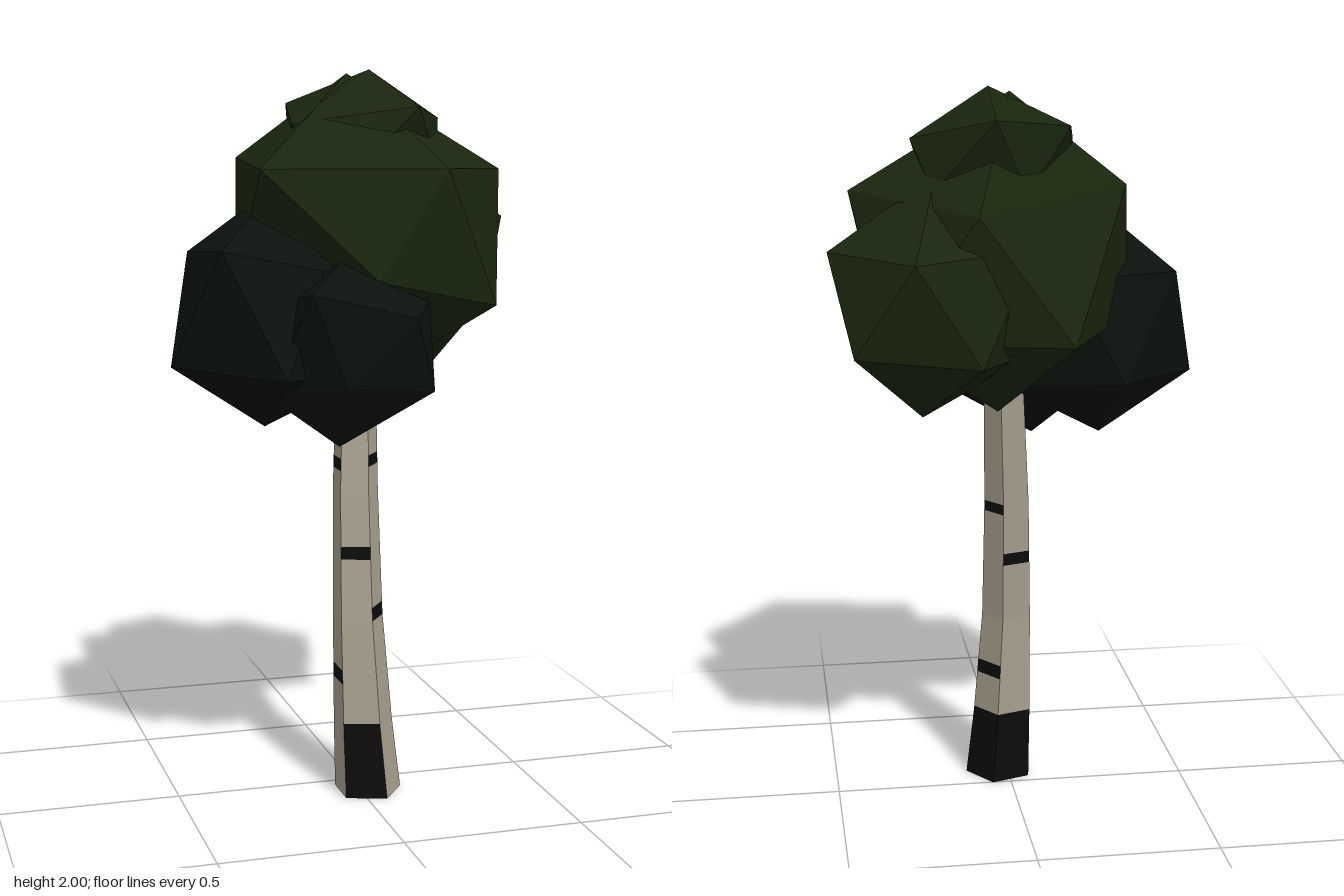
import * as THREE from 'three';

const SIDES = 5;
const BARK = 0xa8a08e, MARK = 0x0c0c0c, LEAF = 0x19260e, SHADE = 0x0b120e;

// Trunk centre line: [y, x, z, radius]
const SPINE = [
  [0, 0.023, 0.09, 0.097], [0.2, 0.012, 0.079, 0.086], [0.5, 0.002, 0.062, 0.073],
  [0.85, 0.006, 0.025, 0.066], [1.15, 0.019, -0.015, 0.059], [1.35, 0.03, -0.045, 0.053],
];

// Dark bark marks on each trunk side, as [bottom, top]
const FOOT = [0, 0.21];
const MARKS = [
  [[0.498, 0.535], [0.922, 0.953]],
  [FOOT, [0.668, 0.703]],
  [[0.32, 0.36], [0.91, 0.943]],
  [FOOT, [0.668, 0.703]],
  [FOOT, [0.32, 0.36], [0.82, 0.85]],
];

// Leaf clumps: regular shape, plus the corners pulled out of place.
// Corners are t (top), u0-u4 (upper ring), l0-l4 (lower ring), b (bottom).
const CLUMPS = [
  {
    name: 'mainFoliage', color: LEAF, centre: [0.045, 1.555, -0.06], radii: [0.43, 0.43, 0.415],
    moved: {
      t: [0.02, 1.99, -0.11], u0: [0.44, 1.73, -0.03], u1: [0.185, 1.74, 0.285], u2: [-0.3, 1.74, 0.195],
      u3: [-0.265, 1.76, -0.24], u4: [0.135, 1.7, -0.39], l0: [0.355, 1.37, 0.19], l1: [-0.01, 1.45, 0.31],
      l2: [-0.31, 1.39, -0.06], l3: [-0.105, 1.37, -0.43],
    },
  },
  {
    name: 'backFoliage', color: LEAF, centre: [0.22, 1.465, -0.166], radii: [0.32, 0.32, 0.32],
    moved: {
      u0: [0.505, 1.59, -0.175], u1: [0.3, 1.61, 0.04], u4: [0.3, 1.59, -0.44],
      l0: [0.4, 1.37, -0.01], l4: [0.45, 1.34, -0.35], b: [0.26, 1.14, -0.16],
    },
  },
  {
    name: 'topFoliage', color: LEAF, centre: [0.06, 1.82, -0.075], radii: [0.235, 0.18, 0.235],
    moved: {
      t: [0.07, 2, -0.06], u0: [0.28, 1.87, -0.09], u1: [0.15, 1.9, 0.14], u2: [-0.17, 1.855, 0.02],
      u3: [-0.12, 1.91, -0.24], u4: [0.08, 1.93, -0.305],
    },
  },
  {
    name: 'sideFoliage', color: SHADE, centre: [-0.207, 1.365, 0.02], radii: [0.333, 0.333, 0.325],
    moved: {
      u1: [-0.15, 1.48, 0.27], u2: [-0.4, 1.53, 0.18], u3: [-0.43, 1.51, -0.12],
      l1: [-0.26, 1.2, 0.32], l2: [-0.505, 1.21, 0.01], l3: [-0.28, 1.22, -0.2], b: [-0.25, 1.04, 0.02],
    },
  },
  {
    name: 'frontFoliage', color: SHADE, centre: [-0.055, 1.265, 0.195], radii: [0.255, 0.262, 0.258],
    moved: {
      u0: [0.155, 1.39, 0.22], u1: [0.05, 1.37, 0.44], u2: [-0.21, 1.43, 0.375],
      l0: [0.12, 1.17, 0.37], l1: [-0.12, 1.19, 0.385], b: [-0.085, 1.003, 0.185],
    },
  },
];

function meshFrom(name, positions, color) {
  const geometry = new THREE.BufferGeometry();
  geometry.setAttribute('position', new THREE.Float32BufferAttribute(positions, 3));
  geometry.computeVertexNormals();
  const mesh = new THREE.Mesh(geometry, new THREE.MeshStandardMaterial({ color, flatShading: true }));
  mesh.name = name;
  return mesh;
}

// Corner of the trunk at a height
function trunkCorner(side, y) {
  let i = 0;
  while (i < SPINE.length - 2 && y > SPINE[i + 1][0]) i++;
  const a = SPINE[i], b = SPINE[i + 1];
  const t = (y - a[0]) / (b[0] - a[0]);
  const [, x, z, r] = a.map((v, k) => v + (b[k] - v) * t);
  const angle = (side / SIDES) * Math.PI * 2;
  return [x + r * Math.cos(angle), y, z + r * Math.sin(angle)];
}

function createTrunk() {
  const bark = [], marks = [];
  for (let s = 0; s < SIDES; s++) {
    // Cut each side at the bends and at the edges of its marks
    const cuts = [...new Set([...SPINE.map((p) => p[0]), ...MARKS[s].flat()])].sort((a, b) => a - b);
    for (let i = 0; i < cuts.length - 1; i++) {
      const lo = cuts[i], hi = cuts[i + 1], mid = (lo + hi) / 2;
      const marked = MARKS[s].some(([from, to]) => mid > from && mid < to);
      const a = trunkCorner(s + 1, lo), b = trunkCorner(s, lo);
      const c = trunkCorner(s, hi), d = trunkCorner(s + 1, hi);
      (marked ? marks : bark).push(...a, ...b, ...c, ...a, ...c, ...d);
    }
    // Underside
    marks.push(SPINE[0][1], 0, SPINE[0][2], ...trunkCorner(s, 0), ...trunkCorner(s + 1, 0));
  }
  const trunk = new THREE.Group();
  trunk.name = 'trunk';
  trunk.add(meshFrom('bark', bark, BARK), meshFrom('barkMarks', marks, MARK));
  return trunk;
}

// Uneven twenty-sided clump: two rings of five corners between two poles
function createClump({ name, color, centre, radii, moved }) {
  const place = (x, y, z) => [x, y, z].map((v, k) => centre[k] + v * radii[k]);
  const ringY = 1 / Math.sqrt(5), ringR = 2 / Math.sqrt(5);
  const corners = { t: place(0, 1, 0), b: place(0, -1, 0) };
  for (let i = 0; i < 5; i++) {
    const up = (i / 5) * Math.PI * 2, low = up + Math.PI / 5;
    corners['u' + i] = place(ringR * Math.cos(up), ringY, ringR * Math.sin(up));
    corners['l' + i] = place(ringR * Math.cos(low), -ringY, ringR * Math.sin(low));
  }
  Object.assign(corners, moved);

  const positions = [];
  for (let i = 0; i < 5; i++) {
    const n = (i + 1) % 5;
    const { t, b, ['u' + i]: u, ['u' + n]: uNext, ['l' + i]: l, ['l' + n]: lNext } = corners;
    positions.push(...t, ...uNext, ...u, ...u, ...uNext, ...l);
    positions.push(...uNext, ...lNext, ...l, ...b, ...l, ...lNext);
  }
  return meshFrom(name, positions, color);
}

export function createModel() {
  const tree = new THREE.Group();
  tree.name = 'tree';
  const crown = new THREE.Group();
  crown.name = 'crown';
  crown.add(...CLUMPS.map(createClump));
  tree.add(createTrunk(), crown);
  return tree;
}
